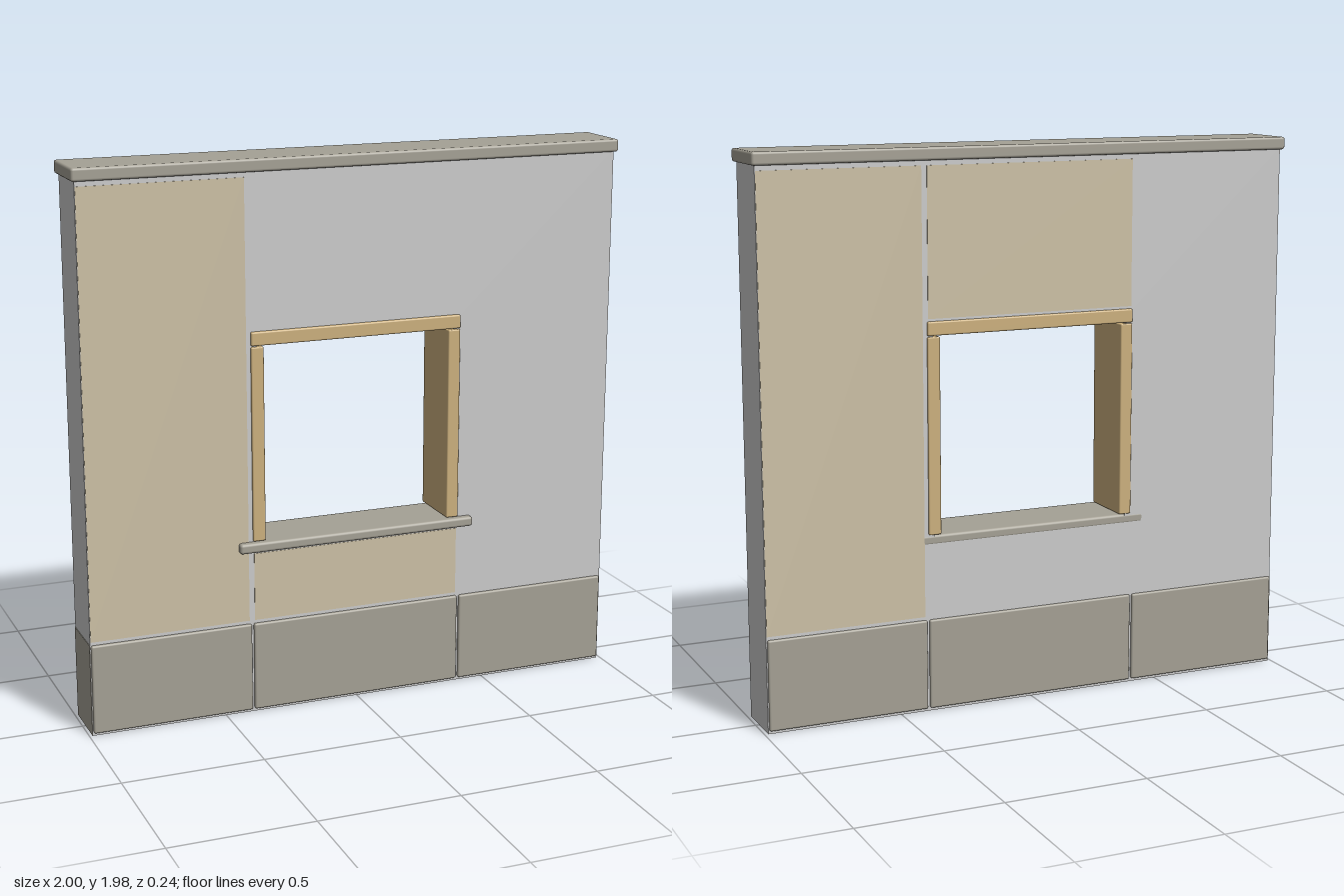
import * as THREE from 'three';
import { RoundedBoxGeometry } from 'three/addons/geometries/RoundedBoxGeometry.js';

const mat = (name, color) => new THREE.MeshStandardMaterial({ name, color });

export function createModel() {
  const model = new THREE.Group();
  model.name = 'windowWall';
  const plaster = mat('greyPlaster', 0xcccccc);
  const cream = mat('creamPanel', 0xcdc1a6);
  const stone = mat('stone', 0xa5a195);
  const wood = mat('wood', 0xcdb17e);

  // Box given by its limits; bevel rounds the edges
  function block(name, material, [x0, x1], [y0, y1], [z0, z1], bevel = 0) {
    const size = [x1 - x0, y1 - y0, z1 - z0];
    const geometry = bevel
      ? new RoundedBoxGeometry(...size, 2, bevel)
      : new THREE.BoxGeometry(...size);
    const mesh = new THREE.Mesh(geometry, material);
    mesh.name = name;
    mesh.position.set((x0 + x1) / 2, (y0 + y1) / 2, (z0 + z1) / 2);
    model.add(mesh);
  }

  // Wall slab with the window opening
  const back = -0.105, front = 0.095;
  const rect = (Type, x, y0, y1) => new Type([
    new THREE.Vector2(-x, y0), new THREE.Vector2(x, y0),
    new THREE.Vector2(x, y1), new THREE.Vector2(-x, y1),
  ]);
  const outline = rect(THREE.Shape, 0.987, 0, 1.94);
  outline.holes.push(rect(THREE.Path, 0.37, 0.62, 1.36));
  const wall = new THREE.Mesh(
    new THREE.ExtrudeGeometry(outline, { depth: front - back, bevelEnabled: false }), plaster);
  wall.name = 'wall';
  wall.position.z = back;
  model.add(wall);

  // Coping along the top
  block('coping', stone, [-1, 1], [1.932, 1.977], [-0.12, 0.11], 0.009);

  // Plinth stones, showing on both faces
  const through = [-0.114, 0.106];
  const columns = [[-0.985, -0.401], [-0.393, 0.393], [0.401, 0.983]];
  for (const x of columns) block('plinthStone', stone, x, [0.01, 0.333], through, 0.007);
  block('plinthEnd', stone, [-0.989, -0.983], [0, 0.333], [back, front]);

  // Cream panels, front and back
  const frontZ = [front - 0.003, front + 0.002];
  const backZ = [back - 0.002, back + 0.003];
  block('frontSidePanel', cream, [-0.985, -0.408], [0.345, 1.915], frontZ);
  block('frontLowerPanel', cream, [-0.388, 0.388], [0.345, 0.592], frontZ);
  block('backSidePanel', cream, [0.408, 0.985], [0.345, 1.915], backZ);
  block('backUpperPanel', cream, [-0.388, 0.388], [1.395, 1.915], backZ);

  // Window frame
  block('lintel', wood, [-0.392, 0.392], [1.337, 1.386], through, 0.006);
  for (const x of [[-0.392, -0.346], [0.346, 0.392]]) {
    block('jamb', wood, x, [0.638, 1.333], [-0.112, 0.104], 0.005);
  }

  // Window sill, projecting at the front
  block('sill', stone, [-0.445, 0.445], [0.6, 0.636], [-0.106, 0.12], 0.01);

  return model;
}
